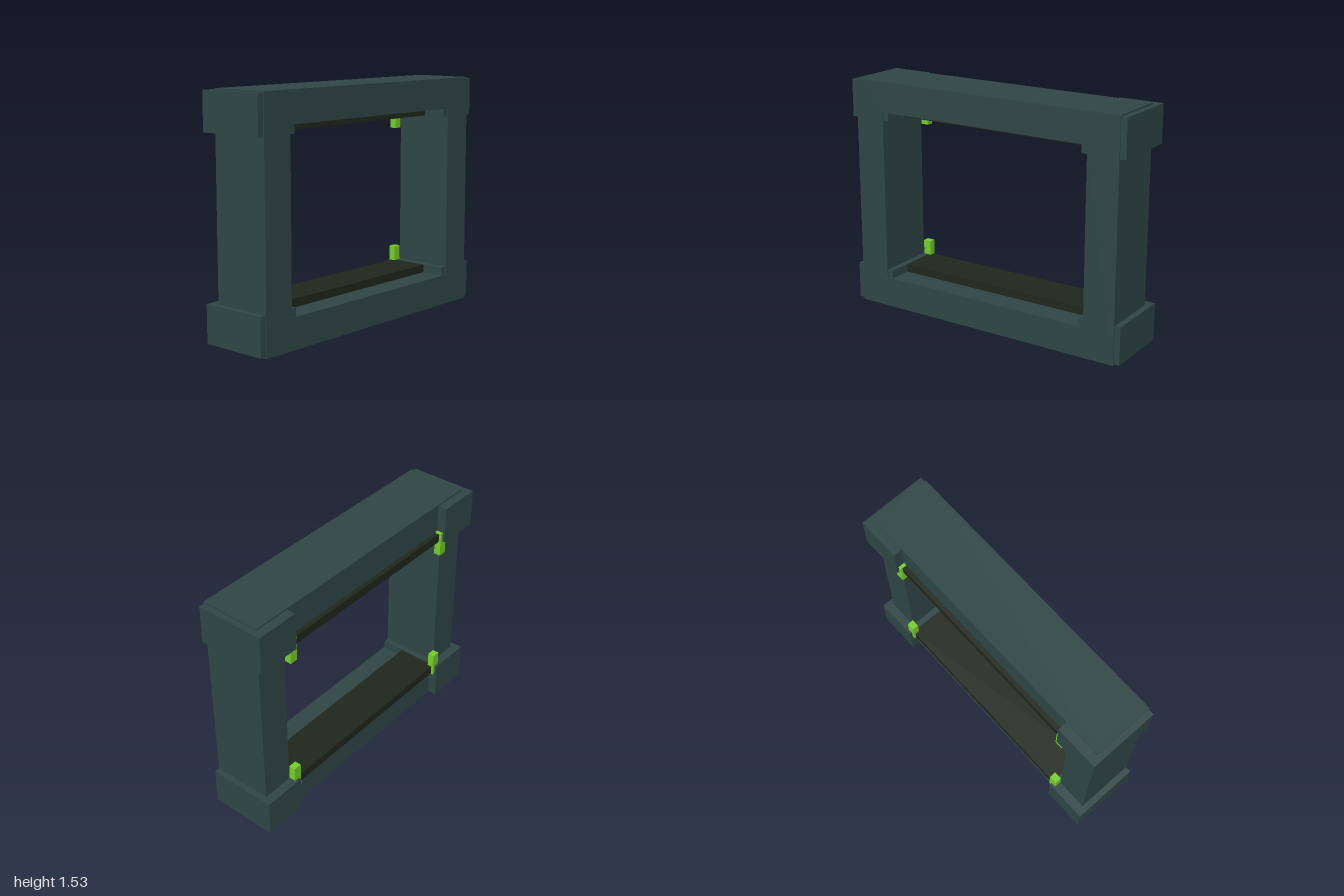
import * as THREE from 'three';

export function createModel() {
  const group = new THREE.Group();
  const slate = new THREE.MeshStandardMaterial({ name: 'dark slate', color: 0x2f4545 });
  const dark = new THREE.MeshStandardMaterial({ name: 'blackish green', color: 0x1e261b });
  const green = new THREE.MeshStandardMaterial({ name: 'bright green', color: 0x74cb2c });
  const H = 1.53;

  // Box given by its limits on each axis
  function box(name, material, [x0, x1], [y0, y1], [z0, z1]) {
    const mesh = new THREE.Mesh(new THREE.BoxGeometry(x1 - x0, y1 - y0, z1 - z0), material);
    mesh.position.set((x0 + x1) / 2, (y0 + y1) / 2, (z0 + z1) / 2);
    mesh.name = name;
    group.add(mesh);
  }

  // Main frame: rectangle with a rectangular opening
  const outline = new THREE.Shape();
  outline.moveTo(-0.96, 0).lineTo(0.96, 0).lineTo(0.96, H).lineTo(-0.96, H).closePath();
  const opening = new THREE.Path();
  opening.moveTo(-0.75, 0.2).lineTo(-0.75, H - 0.2).lineTo(0.75, H - 0.2).lineTo(0.75, 0.2).closePath();
  outline.holes.push(opening);
  const frame = new THREE.Mesh(
    new THREE.ExtrudeGeometry(outline, { depth: 0.4, bevelEnabled: false }), slate);
  frame.position.z = -0.17;
  frame.name = 'frame';
  group.add(frame);

  for (const top of [false, true]) {
    const row = top ? 'Top' : 'Bottom';
    // Mirror a height range for the upper half
    const ys = (a, b) => (top ? [H - b, H - a] : [a, b]);
    // Dark rail lying against the inside of the beam
    box('rail' + row, dark, [-0.71, 0.71], ys(0.198, 0.253), [-0.2, 0.07]);

    for (const side of [1, -1]) {
      const label = row + (side > 0 ? 'Left' : 'Right');
      const xs = (a, b) => (side > 0 ? [a, b] : [-b, -a]);
      // Corner block wrapped around the frame
      box('cornerBlock' + label, slate, xs(0.71, 1), ys(0.01, 0.255), [-0.23, 0.224]);
      // Green clip behind the opening
      box('clip' + label, green, xs(0.69, 0.745), ys(0.19, 0.352), [-0.214, -0.169]);
    }
  }
  return group;
}
